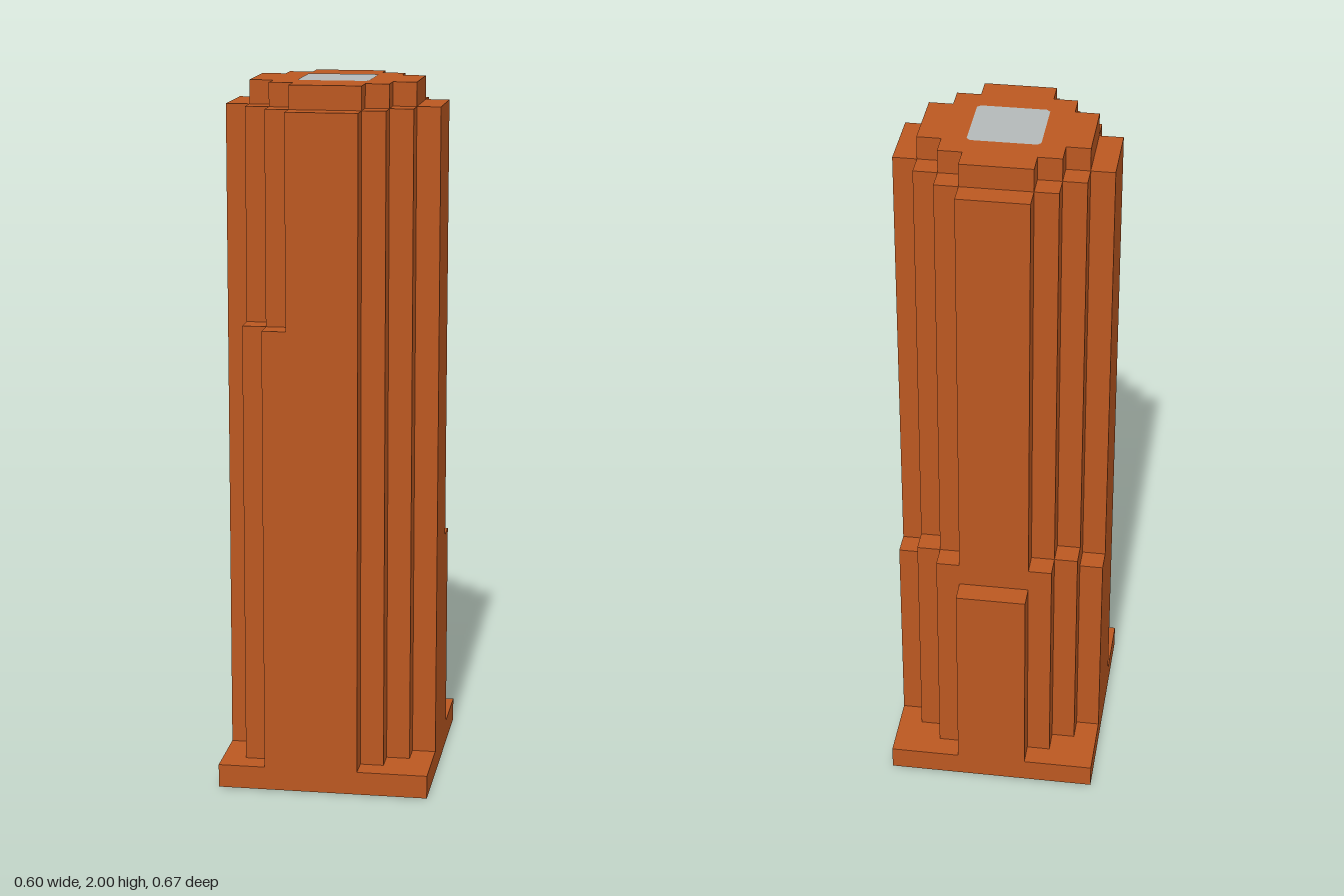
import * as THREE from 'three';

const U = 1 / 15;   // one module of the tower grid
const AXIS = 0.5;   // z of the tower's axis, in modules

export function createModel() {
  const model = new THREE.Group();
  model.name = 'steppedTower';

  const brick = new THREE.MeshStandardMaterial({ color: 0xbb5821 });
  brick.name = 'brick orange';
  const grey = new THREE.MeshStandardMaterial({ color: 0xb3b9b9 });
  grey.name = 'pale grey';

  const add = (name, geometry, material) => {
    const mesh = new THREE.Mesh(geometry, material);
    mesh.name = name;
    model.add(mesh);
    return mesh;
  };

  // Box from its limits, in modules
  const block = (name, x0, x1, y0, y1, z0, z1) =>
    add(name, new THREE.BoxGeometry((x1 - x0) * U, (y1 - y0) * U, (z1 - z0) * U), brick)
      .position.set((x0 + x1) / 2 * U, (y0 + y1) / 2 * U, (z0 + z1) / 2 * U);

  // Upright prism whose four corners step in by whole modules; r is its half width
  const steppedPrism = (name, r, y0, y1) => {
    const corner = [];
    for (let a = 1.5; a < r; a++) {
      const b = r + 1.5 - a;
      corner.push([a, b], [a, b - 1]);
    }
    corner.push([r, 1.5]);
    const pts = [];
    for (let q = 0; q < 4; q++) {
      // clockwise quarter turns
      for (const [x, y] of corner) {
        const [px, py] = [[x, y], [y, -x], [-x, -y], [-y, x]][q];
        pts.push(new THREE.Vector2(px * U, py * U));
      }
    }
    const unique = pts.filter((p, i) => !p.equals(pts[(i + 1) % pts.length]));
    const geometry = new THREE.ExtrudeGeometry(new THREE.Shape(unique), {
      depth: (y1 - y0) * U, bevelEnabled: false,
    });
    geometry.rotateX(-Math.PI / 2);
    geometry.translate(0, y0 * U, AXIS * U);
    add(name, geometry, brick);
  };

  // Plinth, shaft and set-back crown
  block('basePlate', -4.5, 4.5, 0, 1, -5, 5);
  steppedPrism('shaft', 4.5, 1, 29);
  steppedPrism('crown', 3.5, 29, 30);

  // Low rear setbacks, mirrored about the middle
  block('rearButtress', -1.5, 1.5, 1, 10, -5, -4);
  [11, 11, 10].forEach((top, i) => {
    const x = 1.5 + i, z = -4 + i;
    block('rearSetbackLeft', x, x + 1, 1, top, z, z + 1);
    block('rearSetbackRight', -x - 1, -x, 1, top, z, z + 1);
  });

  // Taller setbacks at one front corner
  block('frontSetback', -2.5, -1.5, 1, 20, 4, 5);
  block('frontSetback', -3.5, -2.5, 1, 20, 3, 4);

  // Roof panel with clipped corners
  const h = 0.1, c = 0.01;
  const panel = new THREE.Shape([
    [h, h - c], [h - c, h], [c - h, h], [-h, h - c],
    [-h, c - h], [c - h, -h], [h - c, -h], [h, c - h],
  ].map(([x, y]) => new THREE.Vector2(x, y)));
  const roof = add('roofPanel', new THREE.ShapeGeometry(panel), grey);
  roof.rotation.x = -Math.PI / 2;
  roof.position.set(0, 2.001, AXIS * U);

  // Small disc under the base
  const disc = add('undersideDisc', new THREE.CircleGeometry(0.03, 20), grey);
  disc.rotation.x = Math.PI / 2;
  disc.position.set(-0.03, -0.001, 0);

  return model;
}
